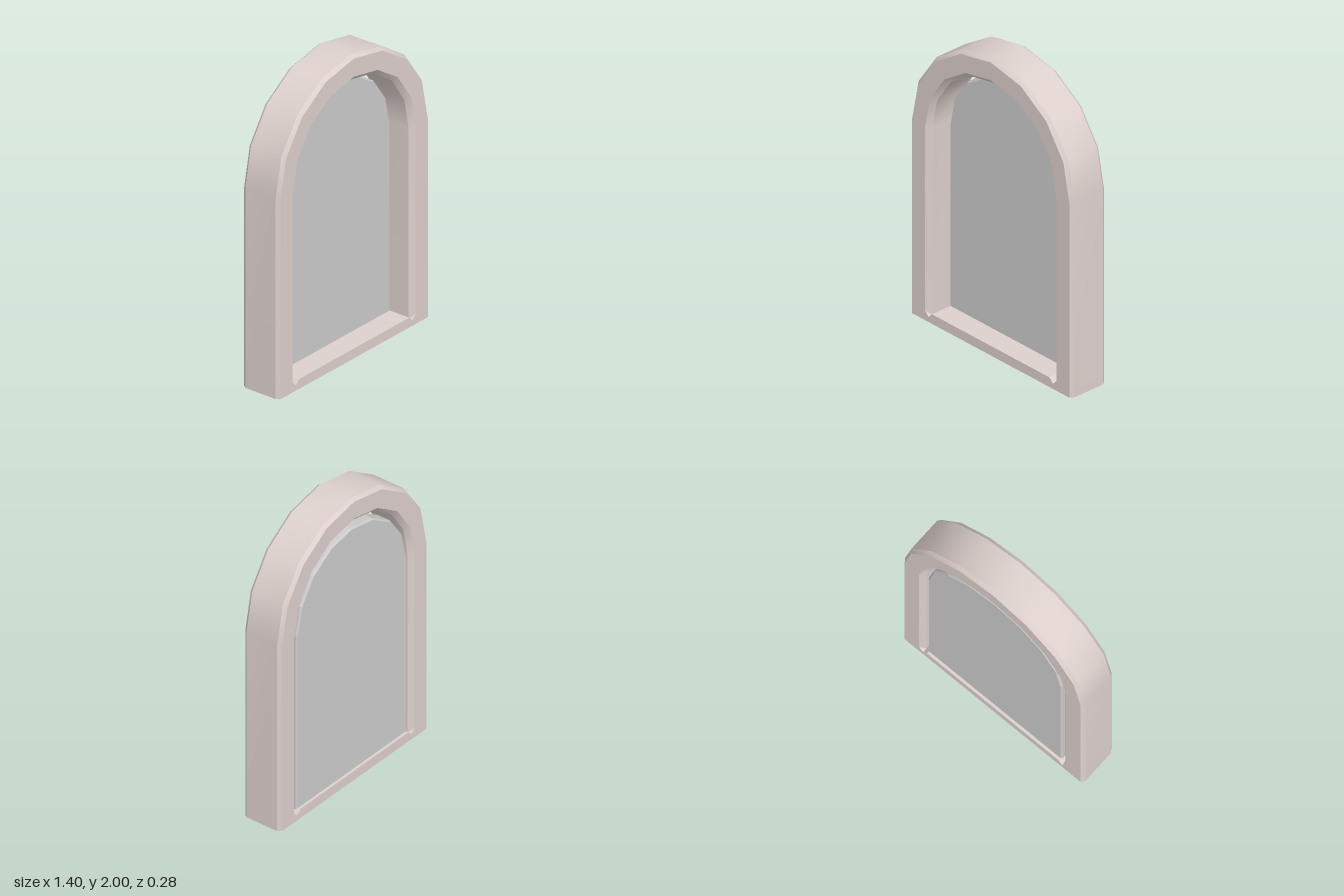
import * as THREE from 'three';
import { mergeGeometries } from 'three/addons/utils/BufferGeometryUtils.js';

// Arch outline from the right foot, over the top, to the left foot
function archPoints(halfWidth, springY, topY, footY = 0) {
  const pts = [[halfWidth, footY]];
  for (let i = 0; i <= 8; i++) {
    const a = (i / 8) * Math.PI;
    pts.push([halfWidth * Math.cos(a), springY + (topY - springY) * Math.sin(a)]);
  }
  pts.push([-halfWidth, footY]);
  return pts;
}

// One smooth band between two loops, with its own vertices so bevels stay crisp
function band(a, b) {
  const n = a.length, index = [];
  for (let i = 0; i < n - 1; i++) index.push(i, i + 1, n + i, i + 1, n + i + 1, n + i);
  return surface([...a, ...b], index);
}

// Flat closing face over one foot of the frame
function footCap(points, flip) {
  const index = [];
  for (let k = 1; k < points.length - 1; k++) index.push(0, flip ? k + 1 : k, flip ? k : k + 1);
  return surface(points, index);
}

function surface(points, index) {
  const g = new THREE.BufferGeometry();
  g.setAttribute('position', new THREE.Float32BufferAttribute(points.flat(), 3));
  g.setIndex(index);
  g.computeVertexNormals();
  return g;
}

function makeFrame() {
  // Cross-section corners: half width, spring height, top height, z
  const section = [
    [0.70, 1.32, 2.00, -0.115],
    [0.70, 1.32, 2.00, 0.115],
    [0.683, 1.31, 1.98, 0.138],
    [0.57, 1.305, 1.86, 0.138],
    [0.54, 1.30, 1.83, 0.108],
    [0.54, 1.30, 1.83, -0.108],
    [0.57, 1.305, 1.86, -0.138],
    [0.683, 1.31, 1.98, -0.138],
  ];
  const loops = section.map(([w, s, t, z]) => archPoints(w, s, t).map(([x, y]) => [x, y, z]));
  const parts = loops.map((loop, i) => band(loop, loops[(i + 1) % loops.length]));
  parts.push(footCap(loops.map((l) => l[0]), false));
  parts.push(footCap(loops.map((l) => l[l.length - 1]), true));
  return mergeGeometries(parts);
}

// Sill with a small V notch where it meets each jamb
function makeSill() {
  const half = [[0.57, 0], [0.57, 0.065], [0.54, 0.035], [0.51, 0.065]];
  const mirrored = half.map(([x, y]) => [-x, y]).reverse();
  const shape = new THREE.Shape([...half, ...mirrored].map(([x, y]) => new THREE.Vector2(x, y)));
  return new THREE.ExtrudeGeometry(shape, { depth: 0.276, bevelEnabled: false }).translate(0, 0, -0.138);
}

// Arched pane with a fine bevel, set towards the back of the opening
function makePane() {
  const shape = new THREE.Shape(archPoints(0.52, 1.285, 1.785, 0.055).map(([x, y]) => new THREE.Vector2(x, y)));
  return new THREE.ExtrudeGeometry(shape, {
    depth: 0.09, bevelEnabled: true, bevelSegments: 1,
    bevelSize: 0.01, bevelThickness: 0.01, bevelOffset: -0.01,
  }).translate(0, 0, -0.11);
}

export function createModel() {
  const group = new THREE.Group();
  group.name = 'archedWindow';
  const stone = new THREE.MeshStandardMaterial({ color: 0xddd0cc });
  const grey = new THREE.MeshStandardMaterial({ color: 0xcccccc });
  const add = (name, geometry, material) => {
    const mesh = new THREE.Mesh(geometry, material);
    mesh.name = name;
    group.add(mesh);
  };
  add('archFrame', makeFrame(), stone);
  add('sill', makeSill(), stone);
  add('pane', makePane(), grey);
  return group;
}
